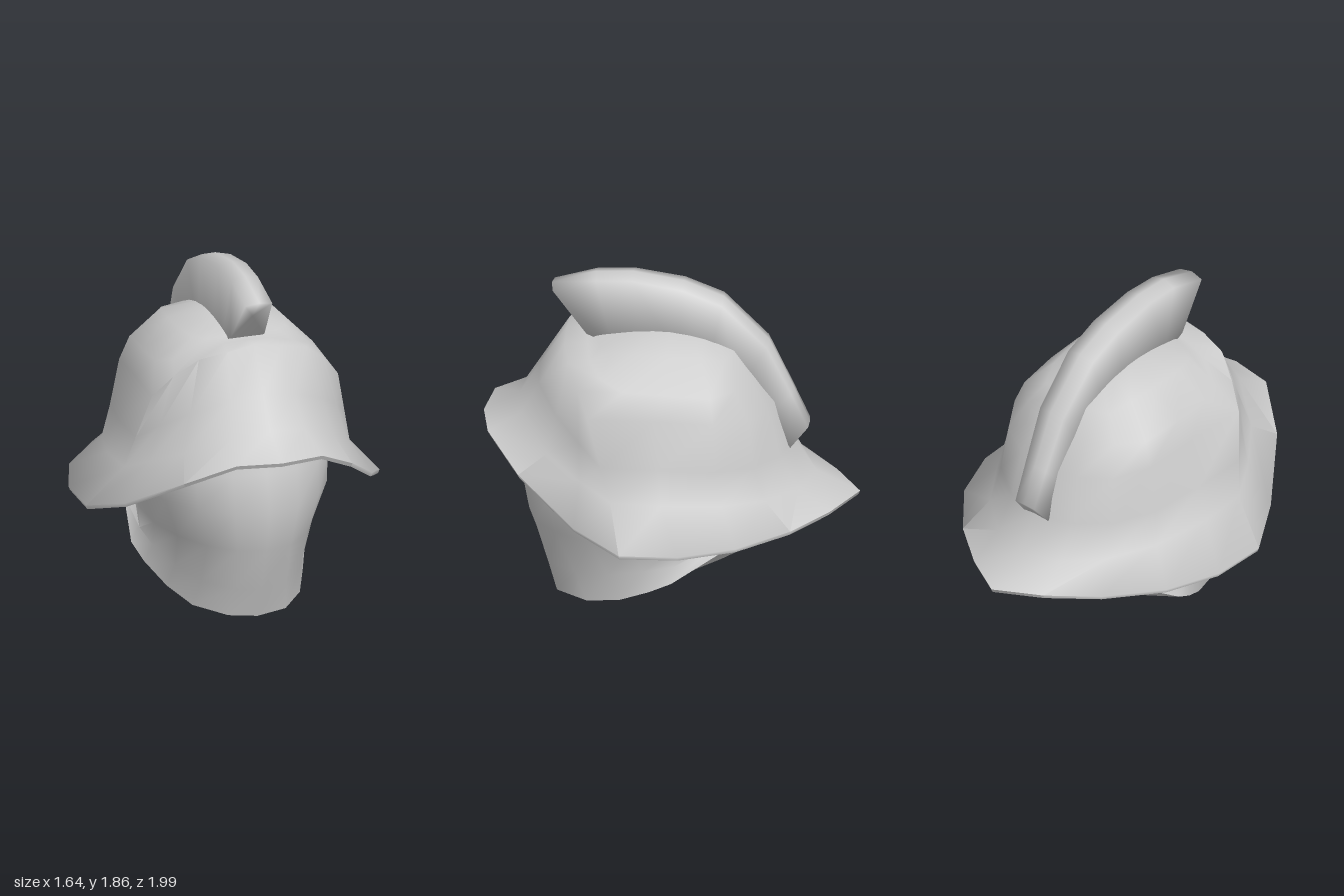
import * as THREE from 'three';
import { toCreasedNormals } from 'three/addons/utils/BufferGeometryUtils.js';

const material = new THREE.MeshStandardMaterial({ color: 0xcccccc, side: THREE.DoubleSide });

// Skin closed cross-sections into a surface; a one-point section closes an end.
function skin(name, rings, crease) {
  const positions = [], index = [], starts = [];
  for (const ring of rings) {
    starts.push(positions.length / 3);
    for (const p of ring) positions.push(...p);
  }
  const n = Math.max(...rings.map(r => r.length));
  const at = (i, j) => starts[i] + (j % rings[i].length);
  const tri = (a, b, c) => { if (a !== b && b !== c && a !== c) index.push(a, b, c); };
  for (let i = 0; i < rings.length - 1; i++) {
    for (let j = 0; j < n; j++) {
      const a = at(i, j), b = at(i, j + 1), c = at(i + 1, j), d = at(i + 1, j + 1);
      tri(a, b, d);
      tri(a, d, c);
    }
  }
  const geometry = new THREE.BufferGeometry();
  geometry.setAttribute('position', new THREE.Float32BufferAttribute(positions, 3));
  geometry.setIndex(index);
  const mesh = new THREE.Mesh(toCreasedNormals(geometry, crease), material);
  mesh.name = name;
  return mesh;
}

// Complete a left half (front to back, ends on x = 0) by mirroring it.
const mirror = half => [...half, ...half.slice(1, -1).reverse().map(([x, y, z]) => [-x, y, z])];

// Oval section: front z, back z, half width, then heights at front, side and back.
function oval(zf, zb, w, yf, ys, yb) {
  const half = [], zm = 0.05;
  for (let i = 0; i < 10; i++) {
    const a = i * Math.PI / 9, c = Math.cos(a);
    const k = Math.abs(c) ** 1.7;
    half.push([i === 9 ? 0 : w * Math.sin(a),
      ys + ((c > 0 ? yf : yb) - ys) * k,
      zm + (c > 0 ? zf - zm : zm - zb) * c]);
  }
  return mirror(half);
}

const moved = (ring, s, dy) => ring.map(([x, y, z]) => [x * s, y + dy, z * s]);
const blend = (r1, r2, t) => r1.map((p, i) => p.map((v, k) => v + (r2[i][k] - v) * t));
const pullBack = (ring, s) => ring.map(([x, y, z]) => [x, y, z < 0 ? z * s : z]);

// Crown: swept brim, angular brow band and rounded dome
function crown() {
  const brim = mirror([
    [0, 0.995, 0.99], [0.24, 0.995, 0.95], [0.47, 0.86, 0.77], [0.69, 0.67, 0.46], [0.82, 0.585, 0.21],
    [0.81, 0.585, -0.1], [0.70, 0.59, -0.4], [0.48, 0.59, -0.67], [0.24, 0.59, -0.86], [0, 0.595, -1],
  ]);
  const fold = mirror([
    [0, 1.11, 0.80], [0.2, 1.09, 0.78], [0.42, 0.97, 0.62], [0.55, 0.88, 0.44], [0.63, 0.80, 0.27],
    [0.63, 0.79, 0], [0.55, 0.76, -0.31], [0.41, 0.73, -0.53], [0.22, 0.71, -0.69], [0, 0.71, -0.77],
  ]);
  const brow = mirror([
    [0, 1.51, 0.55], [0.15, 1.485, 0.55], [0.3, 1.45, 0.52], [0.42, 1.35, 0.46], [0.52, 1.23, 0.40],
    [0.49, 1.22, 0.05], [0.47, 1.2, -0.26], [0.36, 1.17, -0.44], [0.19, 1.15, -0.53], [0, 1.15, -0.57],
  ]);
  const dome = mirror([
    [0, 1.50, 0.44], [0.13, 1.49, 0.43], [0.27, 1.45, 0.41], [0.38, 1.40, 0.34], [0.44, 1.36, 0.22],
    [0.44, 1.35, 0], [0.42, 1.33, -0.24], [0.3, 1.32, -0.36], [0.15, 1.31, -0.43], [0, 1.3, -0.46],
  ]);
  const plateau = mirror([
    [0, 1.51, 0.38], [0.1, 1.51, 0.38], [0.2, 1.5, 0.36], [0.26, 1.5, 0.3], [0.29, 1.505, 0.18],
    [0.29, 1.505, 0], [0.27, 1.49, -0.18], [0.22, 1.45, -0.3], [0.1, 1.45, -0.34], [0, 1.45, -0.35],
  ]);
  return skin('crown', [
    moved(fold, 0.96, -0.03),
    moved(brim, 0.99, -0.022),
    brim,
    fold,
    pullBack(blend(fold, brow, 0.42), 0.95),
    brow,
    dome,
    plateau,
    oval(0.30, -0.26, 0.11, 1.53, 1.55, 1.50),
    [[0, 1.56, 0]],
  ], 1.2);
}

// Face guard with a flared lip running back to the neck and a recessed underside
function faceGuard() {
  const rim = mirror([
    [0, 0, 0.6], [0.16, 0.02, 0.59], [0.3, 0.035, 0.42], [0.38, 0.09, 0.24], [0.45, 0.18, 0.08],
    [0.48, 0.25, -0.04], [0.43, 0.42, -0.30], [0.32, 0.48, -0.56], [0.18, 0.49, -0.74], [0, 0.49, -0.8],
  ]);
  const lip = mirror([
    [0, 0.03, 0.55], [0.14, 0.04, 0.53], [0.27, 0.055, 0.38], [0.34, 0.1, 0.21], [0.39, 0.18, 0.06],
    [0.41, 0.25, -0.05], [0.36, 0.35, -0.30], [0.25, 0.445, -0.56], [0.13, 0.475, -0.68], [0, 0.48, -0.72],
  ]);
  const jaw = oval(0.75, -0.61, 0.435, 0.42, 0.43, 0.57);
  const neck = pullBack(moved(blend(jaw, rim, 0.6), 1, 0).map(([x, y, z]) => [x * 0.94, y, z]), 0.94);
  return skin('faceGuard', [
    [[0, 0.32, -0.05]],
    moved(lip, 0.96, 0.05),
    lip,
    rim,
    neck,
    jaw,
    oval(0.79, -0.63, 0.52, 0.64, 0.64, 0.62),
    oval(0.75, -0.60, 0.535, 0.85, 0.77, 0.70),
    oval(0.68, -0.5, 0.48, 1.05, 1.0, 0.85),
  ], 1.0);
}

// Tall curved crest: each station holds outer z, y, base z, y and half width
function crest() {
  const stations = [
    [0.63, 1.77, 0.44, 1.52, 0.075], [0.40, 1.845, 0.30, 1.45, 0.075], [0.20, 1.855, 0.15, 1.42, 0.08],
    [-0.07, 1.81, -0.05, 1.40, 0.085], [-0.28, 1.725, -0.20, 1.35, 0.085], [-0.52, 1.48, -0.36, 1.20, 0.08],
    [-0.65, 1.20, -0.48, 1.02, 0.07], [-0.735, 1.0, -0.63, 0.87, 0.065],
  ];
  const sections = stations.map(([z, y, bz, by, w]) => {
    const sy = y + (by - y) * 0.05, sz = z + (bz - z) * 0.05;
    return [[-w - 0.02, by, bz], [-w, sy, sz], [0, y, z], [w, sy, sz], [w + 0.02, by, bz]];
  });
  return skin('crest', [[[0, 1.66, 0.52]], ...sections, [[0, 0.94, -0.68]]], Math.PI);
}

export function createModel() {
  const helmet = new THREE.Group();
  helmet.name = 'helmet';
  helmet.add(crown(), faceGuard(), crest());
  return helmet;
}
